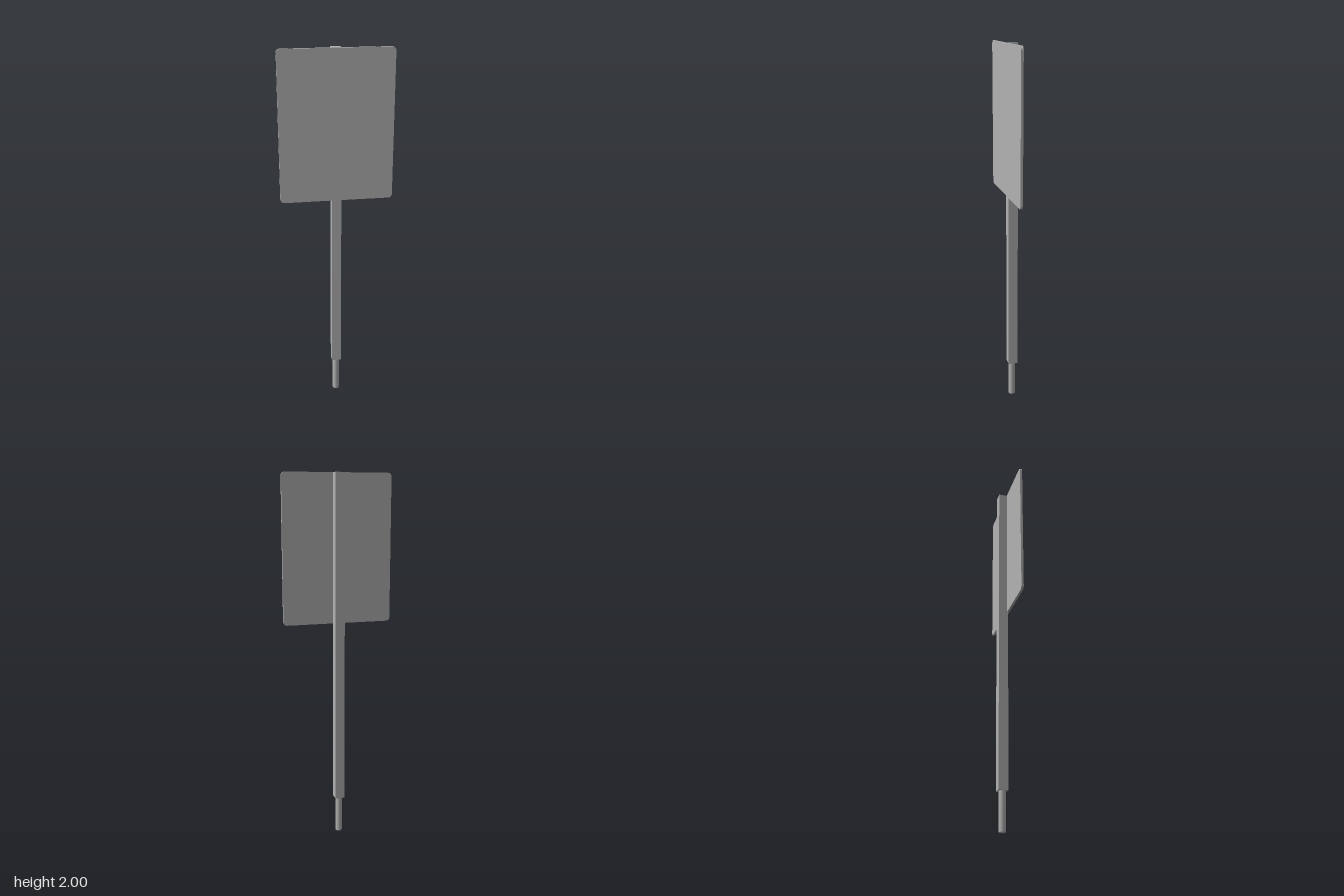
import * as THREE from 'three';

export function createModel() {
  const model = new THREE.Group();
  const grey = new THREE.MeshStandardMaterial({ color: 0xb2b2b2 });
  grey.name = 'grey';

  const add = (name, geometry, x, y, z) => {
    const mesh = new THREE.Mesh(geometry, grey);
    mesh.name = name;
    mesh.position.set(x, y, z);
    model.add(mesh);
  };

  // Flat board with rounded corners
  const w = 0.3, h = 0.397, r = 0.02;
  const outline = new THREE.Shape();
  outline.absarc(w - r, h - r, r, 0, Math.PI / 2);
  outline.absarc(-w + r, h - r, r, Math.PI / 2, Math.PI);
  outline.absarc(-w + r, -h + r, r, Math.PI, Math.PI * 1.5);
  outline.absarc(w - r, -h + r, r, Math.PI * 1.5, Math.PI * 2);
  const board = new THREE.ExtrudeGeometry(outline, { depth: 0.013, bevelEnabled: false, curveSegments: 6 });
  add('board', board, 0, 2 - h, 0.016);

  // Square post running up behind the board
  add('post', new THREE.BoxGeometry(0.052, 1.795, 0.052), 0, 1.1025, -0.005);

  // Round peg below the post, with a small chamfer at its foot
  const profile = [[0, 0], [0.016, 0], [0.019, 0.004], [0.019, 0.21]].map(([x, y]) => new THREE.Vector2(x, y));
  add('groundPeg', new THREE.LatheGeometry(profile, 16), 0, 0, -0.004);

  return model;
}
